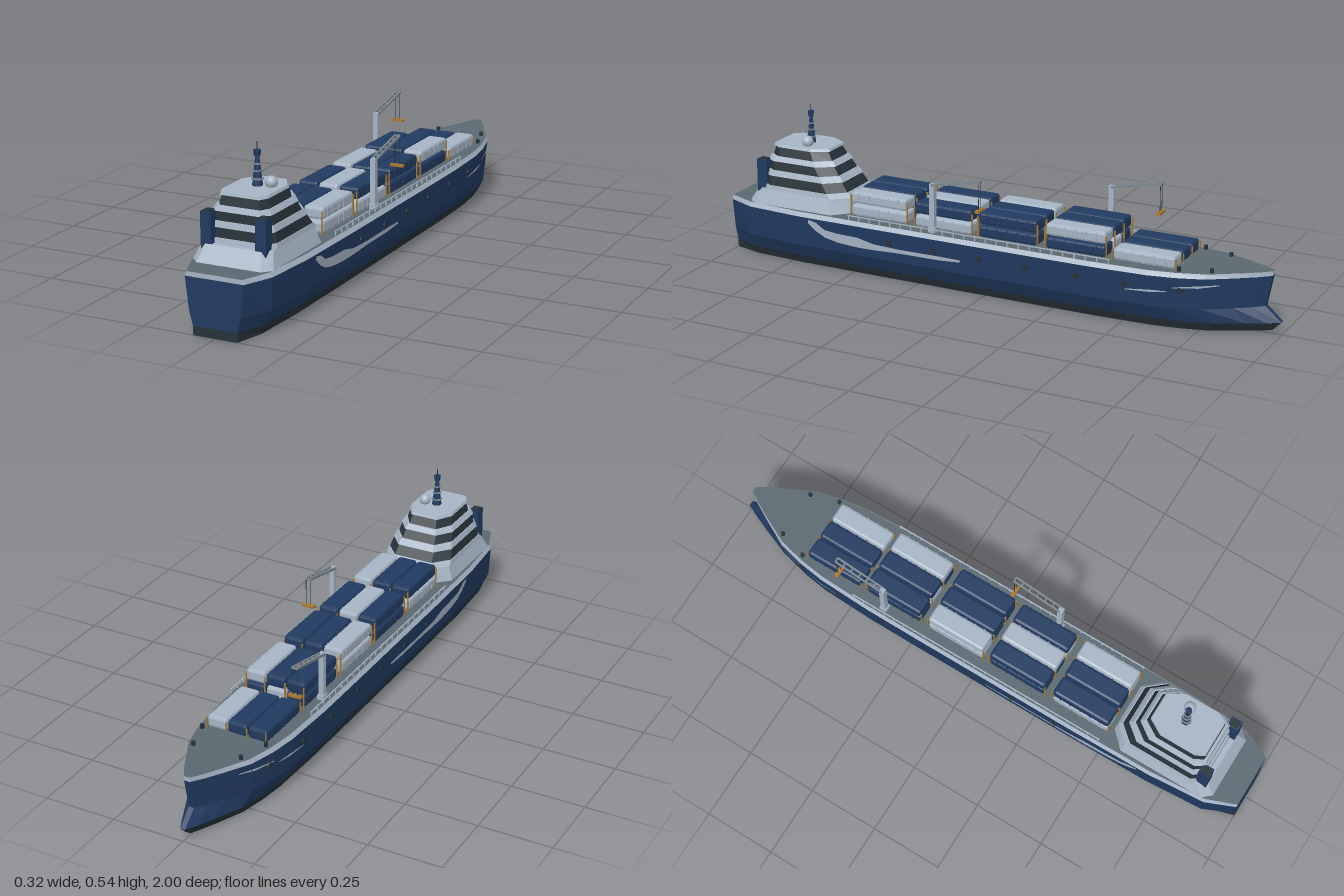
import * as THREE from 'three';
import { RoundedBoxGeometry } from 'three/addons/geometries/RoundedBoxGeometry.js';

const mat = (name, color) => Object.assign(new THREE.MeshStandardMaterial({ color, flatShading: true }), { name });

export function createModel() {
  const ship = new THREE.Group();
  ship.name = 'cargoShip';
  const navy = mat('navy', 0x213a60), light = mat('lightGrey', 0xa6b4c4), deckGrey = mat('deckGrey', 0x5a6870),
    charcoal = mat('charcoal', 0x263138), amber = mat('amber', 0xa8792f), steel = mat('steel', 0x7d8890);

  const add = (name, geo, m, x = 0, y = 0, z = 0, parent = ship) => {
    const mesh = new THREE.Mesh(geo, m);
    mesh.name = name;
    mesh.position.set(x, y, z);
    parent.add(mesh);
    return mesh;
  };
  const box = (name, m, w, h, d, x, y, z, parent) => add(name, new THREE.BoxGeometry(w, h, d), m, x, y, z, parent);
  // Flat-faced surface from a list of four-cornered faces
  const faces = (name, quads, m) => {
    const pos = quads.flatMap(([a, b, c, d]) => [a, b, c, a, c, d].flat());
    const g = new THREE.BufferGeometry();
    g.setAttribute('position', new THREE.Float32BufferAttribute(pos, 3));
    g.computeVertexNormals();
    return add(name, g, m);
  };

  // ---- Hull: stations from bow (-z) to stern (+z), five levels each
  const stations = [[-1, 0.01], [-0.96, 0.035], [-0.9, 0.066], [-0.8, 0.115], [-0.7, 0.138], [-0.6, 0.151], [-0.4, 0.159],
    [-0.2, 0.16], [0.4, 0.16], [0.7, 0.157], [0.9, 0.142], [1, 0.1]];
  const levels = [ // height, width factor, stern width factor, bow end
    [0, 0.72, 0.75, -0.97], [0.03, 0.8, 0.76, -1], [0.078, 0.955, 0.88, -0.945], [0.183, 1, 1, -0.965], [0.198, 0.945, 0.95, -0.965]];
  const hullPoint = (i, l, side) => {
    const [z, w] = stations[i], [y, f, fs, end] = levels[l];
    const t = Math.max(0, (-z - 0.5) / 0.5);
    const k = i === stations.length - 1 ? fs : f;
    return [side * w * k, y + 0.014 * t * t, t > 0 ? -0.5 + t * (end + 0.5) : z];
  };
  const sideFaces = (l) => {
    const out = [];
    for (let i = 0; i < stations.length - 1; i++) for (const s of [1, -1]) {
      const q = [hullPoint(i, l, s), hullPoint(i, l + 1, s), hullPoint(i + 1, l + 1, s), hullPoint(i + 1, l, s)];
      out.push(s > 0 ? q : q.reverse());
    }
    const end = (i) => [hullPoint(i, l, -1), hullPoint(i, l, 1), hullPoint(i, l + 1, 1), hullPoint(i, l + 1, -1)];
    out.push(end(stations.length - 1), end(0).reverse());
    return out;
  };
  const flatFaces = (l, up) => stations.slice(1).map((_, i) => {
    const q = [hullPoint(i, l, -1), hullPoint(i + 1, l, -1), hullPoint(i + 1, l, 1), hullPoint(i, l, 1)];
    return up ? q : q.reverse();
  });
  faces('hullBottom', [...flatFaces(0, false), ...sideFaces(0)], charcoal);
  faces('hullSides', [...sideFaces(1), ...sideFaces(2)], navy);
  faces('gunwale', sideFaces(3), light);
  faces('deck', flatFaces(4, true), deckGrey);

  // Half width of the hull side at a height and length position
  const hullX = (y, z) => {
    const n = z < -0.5 ? -0.5 + (z + 0.5) * 0.5 / 0.465 : z;
    let i = 0;
    while (i < stations.length - 2 && stations[i + 1][0] < n) i++;
    const [z0, w0] = stations[i], [z1, w1] = stations[i + 1];
    const w = w0 + (w1 - w0) * (n - z0) / (z1 - z0);
    return w * (0.955 + 0.045 * (y - 0.078) / 0.105);
  };

  // ---- Painted streaks on both sides: [z, lower y, upper y]
  const streak = (pts) => {
    const quads = [];
    for (const s of [1, -1]) for (let i = 0; i < pts.length - 1; i++) {
      const p = (k, j) => [s * (hullX(pts[k][j], pts[k][0]) + 0.002), pts[k][j], pts[k][0]];
      const q = [p(i, 1), p(i, 2), p(i + 1, 2), p(i + 1, 1)];
      quads.push(s > 0 ? q : q.reverse());
    }
    faces('sideStreak', quads, light);
  };
  streak([[0.07, 0.118, 0.126], [0.15, 0.113, 0.127], [0.3, 0.112, 0.126], [0.4, 0.108, 0.13], [0.46, 0.107, 0.143],
    [0.54, 0.112, 0.145], [0.59, 0.122, 0.15], [0.625, 0.14, 0.172], [0.655, 0.165, 0.178]]);
  streak([[-0.66, 0.135, 0.137], [-0.6, 0.128, 0.136], [-0.52, 0.124, 0.127]]);
  streak([[-0.82, 0.166, 0.169], [-0.76, 0.156, 0.164], [-0.68, 0.15, 0.153]]);

  // ---- Fenders, railings and bollards
  for (const s of [1, -1]) {
    for (const z of [-0.7, -0.52, -0.35, -0.17, 0, 0.17, 0.34]) {
      const f = add('fender', new THREE.CylinderGeometry(0.011, 0.011, 0.008, 8), charcoal, s * hullX(0.143, z), 0.143, z);
      f.rotation.z = Math.PI / 2;
    }
    for (let z = -0.46; z < 0.52; z += 0.04) box('railPost', light, 0.004, 0.018, 0.004, s * 0.147, 0.206, z);
    box('handrail', light, 0.004, 0.003, 0.97, s * 0.147, 0.213, 0.02);
    for (const [x, z] of [[0.085, -0.79], [0.115, -0.69]])
      add('bollard', new THREE.CylinderGeometry(0.007, 0.007, 0.014, 8), charcoal, s * x, 0.209, z);
  }

  // ---- Containers: each row lists its colours from -x to +x, lower and upper layer
  const rows = [[-0.565, 'NNL', ''], [-0.325, 'NLN', 'NNL'], [-0.08, 'LNN', 'LNN'], [0.16, 'NNL', 'NLN'], [0.405, 'LNL', 'NNL']];
  const body = new RoundedBoxGeometry(0.069, 0.041, 0.212, 1, 0.009);
  for (const [z, ...layers] of rows) {
    layers.forEach((colours, layer) => [...colours].forEach((c, col) => {
      const g = new THREE.Group();
      g.name = 'container';
      g.position.set((col - 1) * 0.0735, 0.22 + layer * 0.045, z);
      const m = c === 'N' ? navy : light;
      add('containerBody', body, m, 0, 0, 0, g);
      for (const dz of [-0.075, -0.0375, 0, 0.0375, 0.075]) box('containerRib', m, 0.071, 0.032, 0.004, 0, 0, dz, g);
      ship.add(g);
    }));
    const h = layers[1] ? 0.075 : 0.035;
    for (const x of [-0.105, -0.037, 0.037, 0.105]) for (const e of [-1, 1])
      box('lashingPost', amber, 0.004, h, 0.004, x, 0.198 + h / 2, z + e * 0.109);
  }

  // ---- Deckhouse: stacked tapering tiers with chamfered corners
  const ring = ([y, w, zf, za]) => [[0.6, zf], [1, zf + 0.055], [1, za - 0.03], [0.8, za], [-0.8, za], [-1, za - 0.03], [-1, zf + 0.055], [-0.6, zf]]
    .map(([k, z]) => [k * w, y, z]);
  const tier = (name, low, high, m) => {
    const a = ring(low), b = ring(high), quads = [];
    for (let i = 0; i < 8; i++) {
      const j = (i + 1) % 8;
      quads.push([a[i], b[i], b[j], a[j]]);
    }
    for (let i = 0; i < 3; i++) quads.push([b[i], b[7 - i], b[6 - i], b[i + 1]]);
    for (let i = 0; i < 3; i++) quads.push([a[i + 1], a[6 - i], a[7 - i], a[i]]);
    faces(name, quads, m);
  };
  tier('houseBase', [0.196, 0.138, 0.525, 0.917], [0.25, 0.12, 0.535, 0.885], light);
  tier('lowerWall', [0.25, 0.125, 0.532, 0.868], [0.266, 0.122, 0.545, 0.865], light);
  tier('lowerWindows', [0.266, 0.12, 0.548, 0.86], [0.298, 0.113, 0.572, 0.857], charcoal);
  tier('middleWall', [0.298, 0.114, 0.566, 0.862], [0.317, 0.107, 0.582, 0.858], light);
  tier('middleWindows', [0.317, 0.104, 0.587, 0.853], [0.347, 0.097, 0.608, 0.85], charcoal);
  tier('upperWall', [0.347, 0.1, 0.6, 0.856], [0.363, 0.09, 0.613, 0.85], light);
  tier('bridgeWindows', [0.363, 0.086, 0.618, 0.842], [0.394, 0.076, 0.637, 0.835], charcoal);
  tier('bridgeRoof', [0.394, 0.083, 0.628, 0.842], [0.403, 0.079, 0.632, 0.84], light);

  // ---- Funnels beside the house, pointed at the foot
  for (const s of [1, -1]) {
    const shape = new THREE.Shape([[0.076, 0.348], [0.074, 0.25], [0.108, 0.205], [0.112, 0.25], [0.111, 0.35]]
      .map(([x, y]) => new THREE.Vector2(s * x, y)));
    add('funnel', new THREE.ExtrudeGeometry(shape, { depth: 0.04, bevelEnabled: false }), navy, 0, 0, 0.845);
    box('funnelCap', charcoal, 0.026, 0.004, 0.03, s * 0.094, 0.35, 0.865);
  }

  // ---- Mast and radome on the roof
  const mz = 0.73;
  add('mast', new THREE.CylinderGeometry(0.006, 0.017, 0.095, 6), navy, 0, 0.449, mz);
  for (const [y, r] of [[0.425, 0.019], [0.45, 0.016], [0.472, 0.013]])
    add('mastPlatform', new THREE.CylinderGeometry(r, r, 0.004, 6), steel, 0, y, mz);
  add('mastHead', new THREE.CylinderGeometry(0.012, 0.01, 0.02, 6), navy, 0, 0.505, mz);
  add('antenna', new THREE.CylinderGeometry(0.0015, 0.0015, 0.028, 6), charcoal, 0, 0.526, mz);
  const radome = light.clone();
  radome.flatShading = false;
  radome.name = 'radomeGrey';
  add('radome', new THREE.SphereGeometry(0.02, 16, 12), radome, 0.042, 0.416, 0.72);

  // ---- Deck cranes, jib reaching towards the bow
  for (const [x, z] of [[0.126, 0.187], [-0.126, -0.35]]) {
    const crane = new THREE.Group();
    crane.name = 'crane';
    crane.position.set(x, 0, z);
    ship.add(crane);
    box('craneBase', light, 0.024, 0.02, 0.026, 0, 0.206, 0, crane);
    box('cranePost', light, 0.018, 0.168, 0.018, 0, 0.282, 0, crane);
    const reach = Math.hypot(0.178, 0.037), tilt = Math.atan2(0.037, 0.178);
    for (const dx of [-0.008, 0.008]) {
      const beam = box('jibBeam', steel, 0.005, 0.008, reach, dx, 0.381, -0.089, crane);
      beam.rotation.x = tilt;
      box('hoistCable', charcoal, 0.0015, 0.095, 0.0015, dx, 0.349, -0.175, crane);
    }
    for (let i = 0; i <= 6; i++)
      box('jibBrace', steel, 0.016, 0.005, 0.005, 0, 0.3625 + 0.037 * i / 6, -0.178 * i / 6, crane);
    box('spreader', amber, 0.046, 0.008, 0.014, 0, 0.299, -0.175, crane);
  }
  return ship;
}
